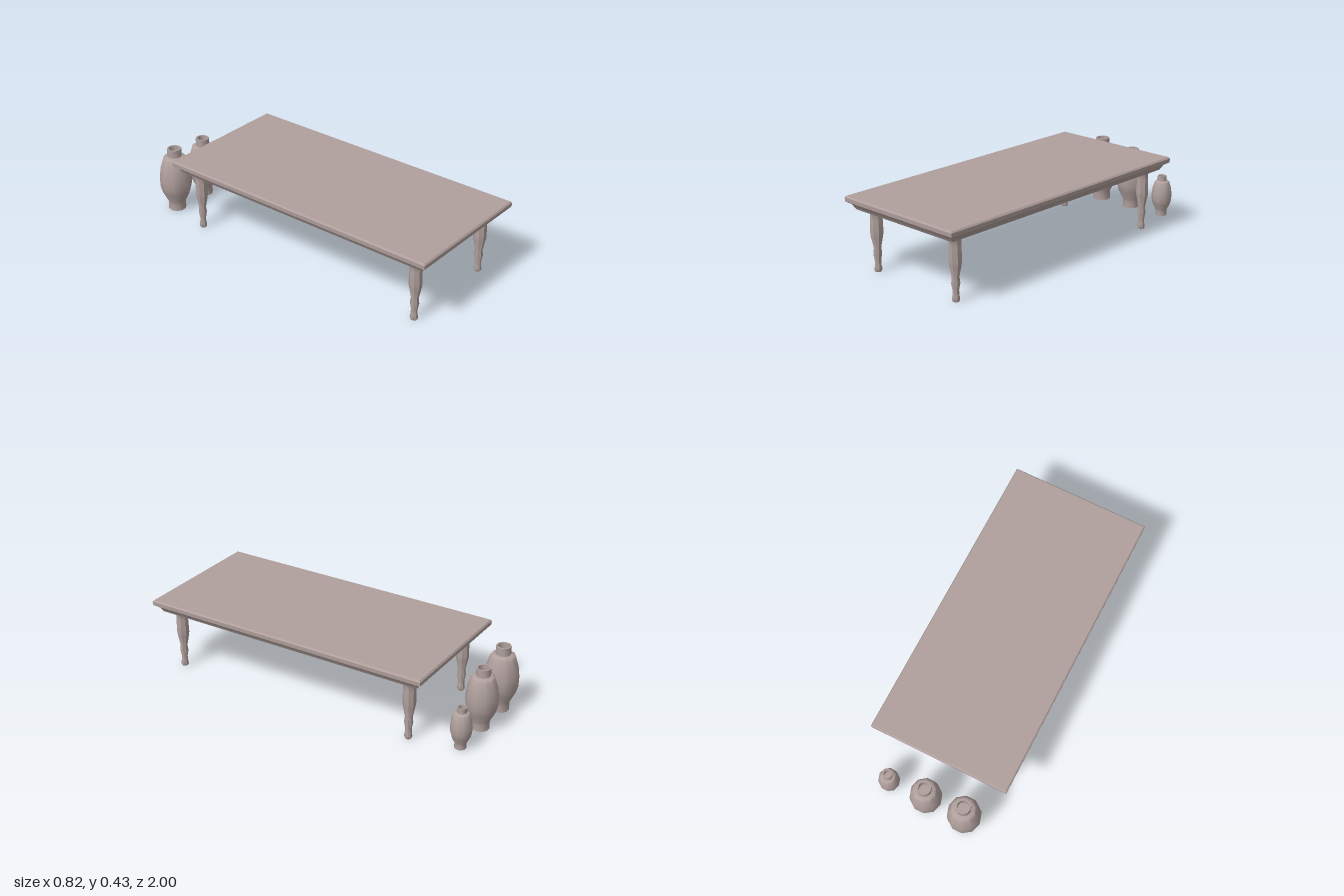
import * as THREE from 'three';
import { toCreasedNormals } from 'three/addons/utils/BufferGeometryUtils.js';

const material = new THREE.MeshStandardMaterial({ color: 0xb0a09d });

function addPart(parent, name, geometry, x = 0, y = 0, z = 0) {
  const mesh = new THREE.Mesh(toCreasedNormals(geometry, 0.72), material);
  mesh.name = name;
  mesh.position.set(x, y, z);
  parent.add(mesh);
  return mesh;
}

// Turned shape from [radius, height] pairs, listed from the bottom up
function turned(profile, sides, start = 0) {
  const points = profile.map(([r, y]) => new THREE.Vector2(r, y));
  return new THREE.LatheGeometry(points, sides, start);
}

// Moulded slab: a box whose height rows follow [inset, height] steps
function moulded(halfX, halfZ, steps) {
  const rows = steps.length - 1;
  const geometry = new THREE.BoxGeometry(1, 1, 1, 1, rows, 1);
  const p = geometry.attributes.position;
  for (let i = 0; i < p.count; i++) {
    const [inset, y] = steps[Math.round((p.getY(i) + 0.5) * rows)];
    p.setXYZ(i, Math.sign(p.getX(i)) * (halfX - inset), y,
      Math.sign(p.getZ(i)) * (halfZ - inset));
  }
  return geometry;
}

const LEG = [
  [0, 0], [0.018, 0.001], [0.023, 0.012], [0.019, 0.035], [0.018, 0.062],
  [0.025, 0.1], [0.021, 0.135], [0.035, 0.205], [0.037, 0.225],
  [0.035, 0.3], [0.034, 0.338], [0.048, 0.36],
];

// Outer wall, rim and the sunken floor inside the neck
const VASE = [
  [0, 0], [0.05, 0], [0.05, 0.047], [0.08, 0.107], [0.09, 0.145],
  [0.092, 0.2], [0.084, 0.262], [0.067, 0.315], [0.058, 0.323],
  [0.041, 0.326], [0.041, 0.371], [0.032, 0.371], [0.032, 0.322], [0, 0.322],
];

export function createModel() {
  const model = new THREE.Group();
  model.name = 'tableWithVases';

  // Table top with a moulded edge tapering to the underside
  const table = new THREE.Group();
  table.name = 'table';
  model.add(table);
  addPart(table, 'tableTop', moulded(0.41, 0.874, [
    [0.042, 0.358], [0.026, 0.387], [0.012, 0.395],
    [0.002, 0.402], [0, 0.425], [0.007, 0.434],
  ]), 0, 0, 0.126);

  // Four turned legs
  for (const side of [-1, 1]) {
    for (const [end, z] of [['front', 0.878], ['back', -0.63]]) {
      addPart(table, `${end}${side > 0 ? 'Left' : 'Right'}Leg`,
        turned(LEG, 8, Math.PI / 8), side * 0.303, 0, z);
    }
  }

  // Row of vases behind the table: x, width scale, height scale
  const vases = [
    ['largeVase', -0.235, 1.04, 1.065],
    ['mediumVase', 0.002, 0.98, 1],
    ['smallVase', 0.237, 0.65, 0.668],
  ];
  for (const [name, x, width, height] of vases) {
    const vase = turned(VASE, 10, Math.PI / 2).scale(width, height, width);
    addPart(model, name, vase, x, 0, -0.908);
  }

  return model;
}
